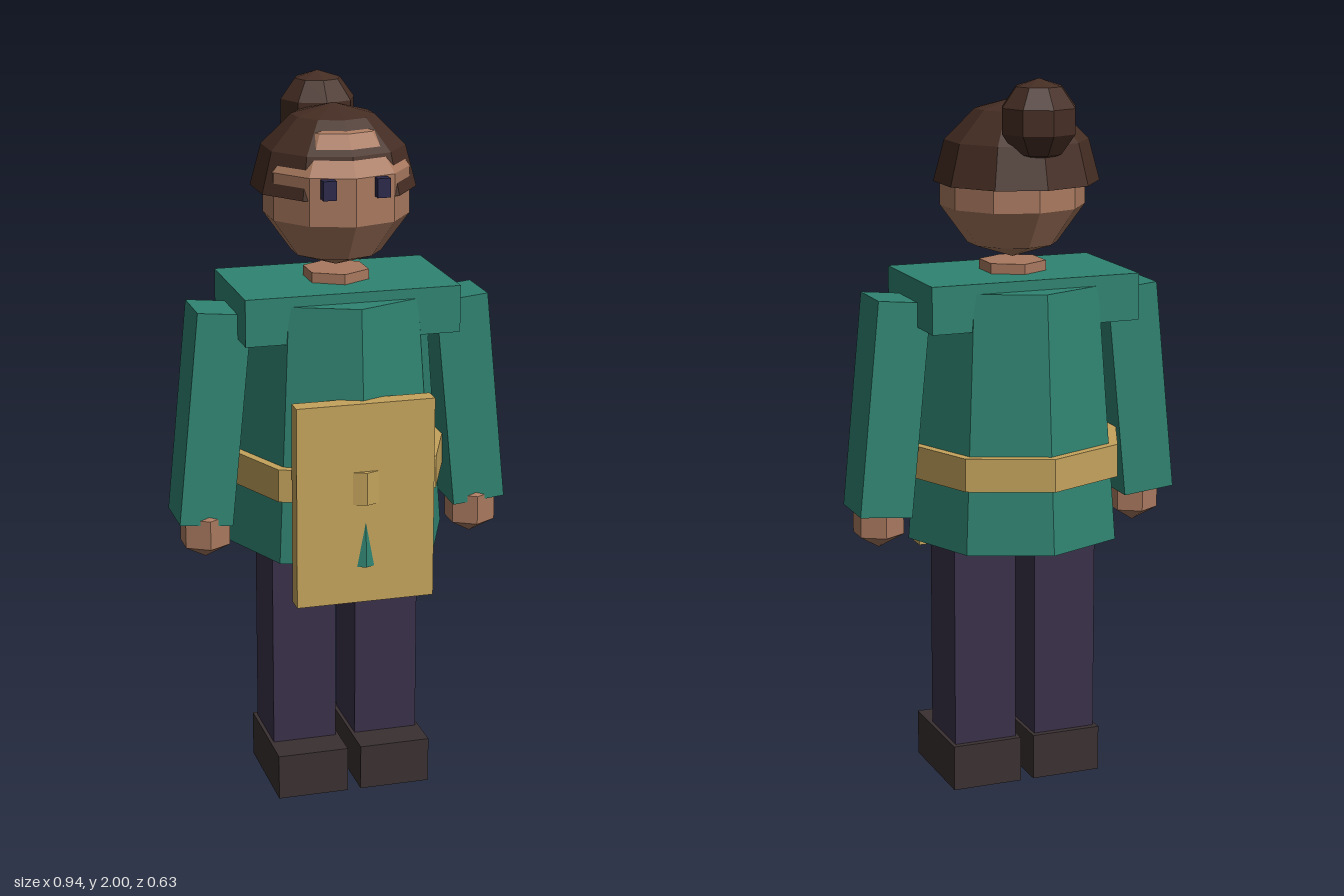
import * as THREE from 'three';

const mat = (name, color) => {
  const m = new THREE.MeshStandardMaterial({ color, flatShading: true });
  m.name = name;
  return m;
};

export function createModel() {
  const tunic = mat('tunic green', 0x2f8371);
  const tan = mat('apron tan', 0xc4a35c);
  const trousers = mat('trouser purple', 0x393049);
  const leather = mat('shoe brown', 0x3a3031);
  const skin = mat('skin', 0xa9795f);
  const hair = mat('hair brown', 0x452d23);
  const eyeDark = mat('eye navy', 0x2a2748);
  hair.side = THREE.DoubleSide; // the hair cap is open underneath

  const model = new THREE.Group();
  model.name = 'figure';

  const add = (name, geometry, material, x, y, z) => {
    const mesh = new THREE.Mesh(geometry, material);
    mesh.name = name;
    mesh.position.set(x, y, z);
    model.add(mesh);
    return mesh;
  };
  const box = (w, h, d) => new THREE.BoxGeometry(w, h, d);
  // Faceted ball with a vertex column facing the front
  const ball = (r, sides, rings, sweep = Math.PI) =>
    new THREE.SphereGeometry(r, sides, rings, 0, Math.PI * 2, 0, sweep).rotateY(Math.PI / 2);

  // Body
  add('tunic', new THREE.CylinderGeometry(0.255, 0.311, 0.71, 8), tunic, 0, 1.077, 0);
  add('shoulders', box(0.6, 0.13, 0.366), tunic, 0, 1.395, 0);
  add('belt', new THREE.CylinderGeometry(0.316, 0.316, 0.092, 8), tan, 0, 0.948, 0);
  add('apron', box(0.386, 0.566, 0.052), tan, 0, 0.902, 0.275);
  add('neck', new THREE.CylinderGeometry(0.093, 0.093, 0.1, 6), skin, 0, 1.438, 0);

  // Head, with a hair cap that lets the forehead show through
  add('head', ball(0.21, 10, 5), skin, 0, 1.707, 0);
  add('hair', ball(0.227, 10, 3, Math.PI / 2), hair, 0, 1.71, -0.03);
  add('hairBun', ball(0.11, 8, 5), hair, 0, 1.89, -0.19);

  // Mirrored parts
  for (const [side, s] of [['left', 1], ['right', -1]]) {
    add(`${side}Eye`, box(0.036, 0.052, 0.03), eyeDark, s * 0.074, 1.745, 0.194);
    add(`${side}Sleeve`, box(0.15, 0.6, 0.155), tunic, s * 0.365, 1.103, 0.015)
      .rotation.z = s * 0.1;
    add(`${side}Hand`, ball(0.083, 6, 3), skin, s * 0.387, 0.778, 0.035);
    add(`${side}Leg`, box(0.182, 0.64, 0.195), trousers, s * 0.12, 0.44, 0);
    add(`${side}Shoe`, box(0.202, 0.13, 0.31), leather, s * 0.12, 0.065, 0.04);
  }

  return model;
}
